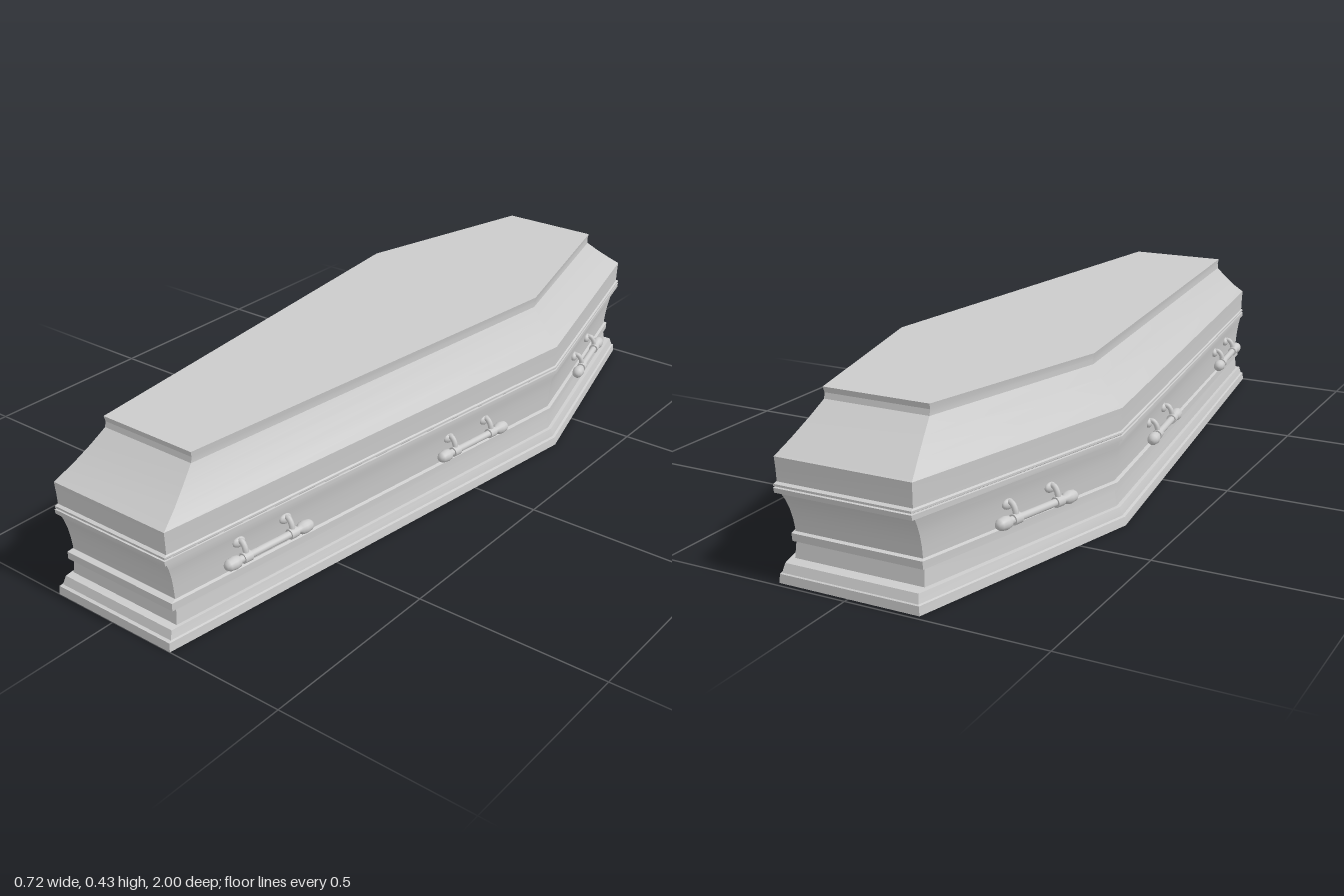
import * as THREE from 'three';
import { toCreasedNormals } from 'three/addons/utils/BufferGeometryUtils.js';

const material = new THREE.MeshStandardMaterial({ color: 0xcccccc });
const SHOULDER_Z = -0.335;

// Six-sided outline, counter-clockwise from above
function outline([y, w, front, back]) {
  const e = w * 0.505;
  return [[e, y, front], [w, y, SHOULDER_Z], [e, y, back], [-e, y, back], [-w, y, SHOULDER_Z], [-e, y, front]];
}

// Stack of outlines [y, half width, front z, back z], capped at both ends
function stack(name, levels) {
  const rings = levels.map(outline);
  const pos = [];
  const tri = (...pts) => pts.forEach((p) => pos.push(...p));
  for (let i = 0; i < rings.length - 1; i++) {
    for (let j = 0; j < 6; j++) {
      const k = (j + 1) % 6, lo = rings[i], hi = rings[i + 1];
      tri(lo[j], lo[k], hi[k]);
      tri(lo[j], hi[k], hi[j]);
    }
  }
  const bottom = rings[0], top = rings[rings.length - 1];
  for (let j = 1; j < 5; j++) {
    tri(bottom[0], bottom[j + 1], bottom[j]);
    tri(top[0], top[j], top[j + 1]);
  }
  const geo = new THREE.BufferGeometry();
  geo.setAttribute('position', new THREE.Float32BufferAttribute(pos, 3));
  const mesh = new THREE.Mesh(toCreasedNormals(geo, 0.36), material);
  mesh.name = name;
  return mesh;
}

// Carrying handle: runs along local z, wall at x = 0, outward is +x
function makeHandle() {
  const handle = new THREE.Group();
  const add = (name, geo, x, y, z) => {
    const mesh = new THREE.Mesh(geo, material);
    mesh.name = name;
    mesh.position.set(x, y, z);
    handle.add(mesh);
    return mesh;
  };
  // Turned bar with thicker ends
  const half = [[0.009, 0], [0.009, 0.09], [0.014, 0.094], [0.016, 0.106], [0.014, 0.122], [0.008, 0.13], [0, 0.131]];
  const profile = [...half.slice(1).reverse().map(([r, h]) => [r, -h]), ...half]
    .map(([r, h]) => new THREE.Vector2(r, h));
  add('handleBar', new THREE.LatheGeometry(profile, 14), 0.026, 0, 0).rotation.x = Math.PI / 2;

  // Curved arms, collars and wall plates
  const curve = new THREE.CatmullRomCurve3([[-0.004, 0.03], [0.012, 0.034], [0.022, 0.022], [0.026, 0]]
    .map(([x, y]) => new THREE.Vector3(x, y, 0)));
  for (const z of [-0.07, 0.07]) {
    add('handleArm', new THREE.TubeGeometry(curve, 12, 0.007, 8), 0, 0, z);
    add('armCollar', new THREE.CylinderGeometry(0.013, 0.013, 0.022, 14), 0.026, 0, z).rotation.x = Math.PI / 2;
    add('wallPlate', new THREE.SphereGeometry(0.018, 12, 8), 0.001, 0.028, z).scale.set(0.5, 0.7, 1);
  }
  return handle;
}

export function createModel() {
  const model = new THREE.Group();
  model.name = 'coffin';

  // Stepped plinth with a moulding band
  model.add(stack('plinth', [
    [0, 0.362, 1, -0.988], [0.022, 0.359, 0.998, -0.987], [0.024, 0.352, 0.99, -0.983],
    [0.045, 0.345, 0.982, -0.975], [0.046, 0.336, 0.962, -0.945], [0.088, 0.331, 0.957, -0.94],
    [0.0885, 0.338, 0.972, -0.95], [0.108, 0.338, 0.972, -0.952], [0.111, 0.329, 0.958, -0.94],
  ]));

  // Coved body flaring to the rim
  model.add(stack('body', [
    [0.11, 0.329, 0.957, -0.942], [0.14, 0.331, 0.96, -0.947], [0.17, 0.334, 0.965, -0.956],
    [0.195, 0.338, 0.972, -0.968], [0.214, 0.343, 0.98, -0.98],
    [0.217, 0.35, 0.988, -0.995], [0.229, 0.35, 0.989, -0.997], [0.23, 0.345, 0.98, -0.988],
  ]));

  // Lid with seam, upright rim, sloped shoulder and raised panel
  model.add(stack('lid', [
    [0.23, 0.345, 0.98, -0.985], [0.233, 0.349, 0.988, -0.997], [0.238, 0.349, 0.988, -0.997],
    [0.241, 0.345, 0.98, -0.987], [0.27, 0.346, 0.981, -0.988], [0.299, 0.348, 0.983, -0.99],
    [0.33, 0.32, 0.935, -0.945], [0.365, 0.292, 0.89, -0.897], [0.397, 0.27, 0.853, -0.855],
    [0.411, 0.27, 0.85, -0.852], [0.425, 0.273, 0.853, -0.856],
  ]));

  // Three handles on each side, laid along the walls
  const spots = [[0.71, 0.153, 0.204], [0.01, 0.146, 0.29], [-0.635, 0.135, 0.256]];
  for (const side of [1, -1]) {
    for (const [z, y, x] of spots) {
      const handle = makeHandle();
      handle.name = side > 0 ? 'leftHandle' : 'rightHandle';
      const lean = z > SHOULDER_Z ? -Math.atan(0.165 / 1.3) : Math.atan(0.165 / 0.62);
      handle.position.set(side * x, y, z);
      handle.rotation.y = side > 0 ? lean : Math.PI - lean;
      model.add(handle);
    }
  }
  return model;
}
